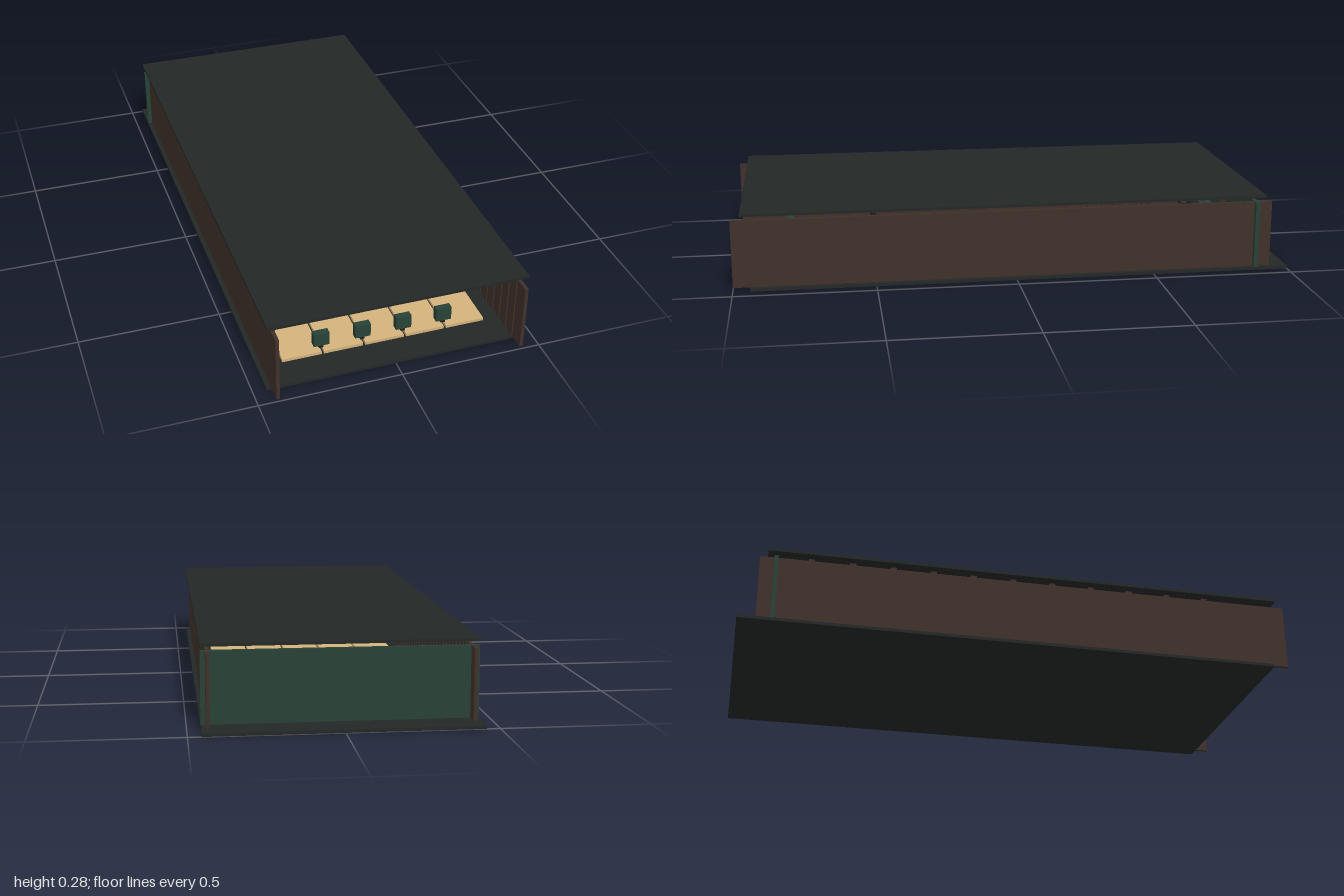
import * as THREE from 'three';

const mat = (color) => new THREE.MeshStandardMaterial({ color });
const M = {
  slab: mat(0x232827), brown: mat(0x40302a), green: mat(0x284237), wood: mat(0xd4b27c),
  black: mat(0x1b1f1e), screen: mat(0x16281f), lamp: mat(0x9a6a5a),
};

// Box given by its min and max on each axis
function box(parent, name, m, [x0, x1], [y0, y1], [z0, z1]) {
  const mesh = new THREE.Mesh(new THREE.BoxGeometry(x1 - x0, y1 - y0, z1 - z0), m);
  mesh.position.set((x0 + x1) / 2, (y0 + y1) / 2, (z0 + z1) / 2);
  mesh.name = name;
  parent.add(mesh);
  return mesh;
}

function group(parent, name, x = 0) {
  const g = new THREE.Group();
  g.name = name;
  g.position.x = x;
  parent.add(g);
  return g;
}

// Lane with pin pit, masking panel and hanging score screen
function addLane(parent, x) {
  const g = group(parent, 'lane', x);
  box(g, 'laneBoards', M.wood, [-0.07, 0.07], [0.011, 0.022], [-0.84, 0.83]);
  box(g, 'pinPit', M.black, [-0.056, 0.056], [0.022, 0.08], [-0.87, -0.82]);
  for (const s of [-0.05, 0.05])
    box(g, 'pitPost', M.black, [s - 0.004, s + 0.004], [0.022, 0.056], [-0.82, -0.81]);
  box(g, 'maskingPanel', M.green, [-0.069, 0.069], [0.086, 0.116], [-0.87, -0.82]);
  box(g, 'screenFrame', M.black, [-0.054, 0.054], [0.157, 0.211], [0.49, 0.5]);
  box(g, 'screenFace', M.screen, [-0.05, 0.05], [0.161, 0.207], [0.5, 0.502]);
  box(g, 'screenHanger', M.black, [-0.0015, 0.0015], [0.211, 0.253], [0.493, 0.497]);
}

// Scoring console and ball return between two lanes
function addApproach(parent, x) {
  const c = group(parent, 'console', x);
  box(c, 'consoleStand', M.black, [-0.008, 0.008], [0.022, 0.04], [0.795, 0.81]);
  box(c, 'consoleBody', M.green, [-0.028, 0.028], [0.035, 0.085], [0.79, 0.815]);
  const r = group(parent, 'ballReturn', x);
  box(r, 'returnBase', M.black, [-0.018, 0.018], [0.022, 0.045], [0.56, 0.67]);
  for (const z of [0.58, 0.65])
    box(r, 'returnHood', M.black, [-0.026, 0.026], [0.036, 0.06], [z - 0.022, z + 0.022]);
}

export function createModel() {
  const model = new THREE.Group();
  model.name = 'bowlingHall';

  // Shell
  box(model, 'floor', M.slab, [-0.455, 0.455], [0, 0.011], [-1, 0.94]);
  box(model, 'roof', M.slab, [-0.455, 0.455], [0.27, 0.28], [-0.91, 0.966]);
  box(model, 'backWall', M.green, [-0.455, 0.455], [0.011, 0.253], [-0.888, -0.873]);
  for (const s of [-1, 1]) {
    const side = group(model, s > 0 ? 'leftWall' : 'rightWall', s * 0.4325);
    box(side, 'wallPanel', M.brown, [-0.006, 0.006], [0.011, 0.253], [-0.937, 1]);
    // Slats on the inner face
    for (let i = 0; i < 34; i++) {
      const z = 0.93 - i * 0.053;
      box(side, 'wallSlat', M.brown, s > 0 ? [-0.01, -0.006] : [0.006, 0.01], [0.012, 0.25], [z - 0.012, z + 0.012]);
    }
  }

  // Roof beams, with lamps under every other one
  for (let i = 0; i < 11; i++) {
    const z = 0.696 - i * 0.1453;
    box(model, 'roofBeam', M.brown, [-0.425, 0.425], [0.255, 0.268], [z - 0.011, z + 0.011]);
    if (i % 2 === 0)
      for (const x of [-0.283, -0.094, 0.094, 0.283])
        box(model, 'lamp', M.lamp, [x - 0.031, x + 0.031], [0.252, 0.256], [z - 0.009, z + 0.009]);
  }

  // Lanes and equipment
  for (let i = -2; i <= 2; i++) addLane(model, i * 0.1485);
  for (let i = -1.5; i <= 1.5; i++) addApproach(model, i * 0.1485);

  return model;
}
